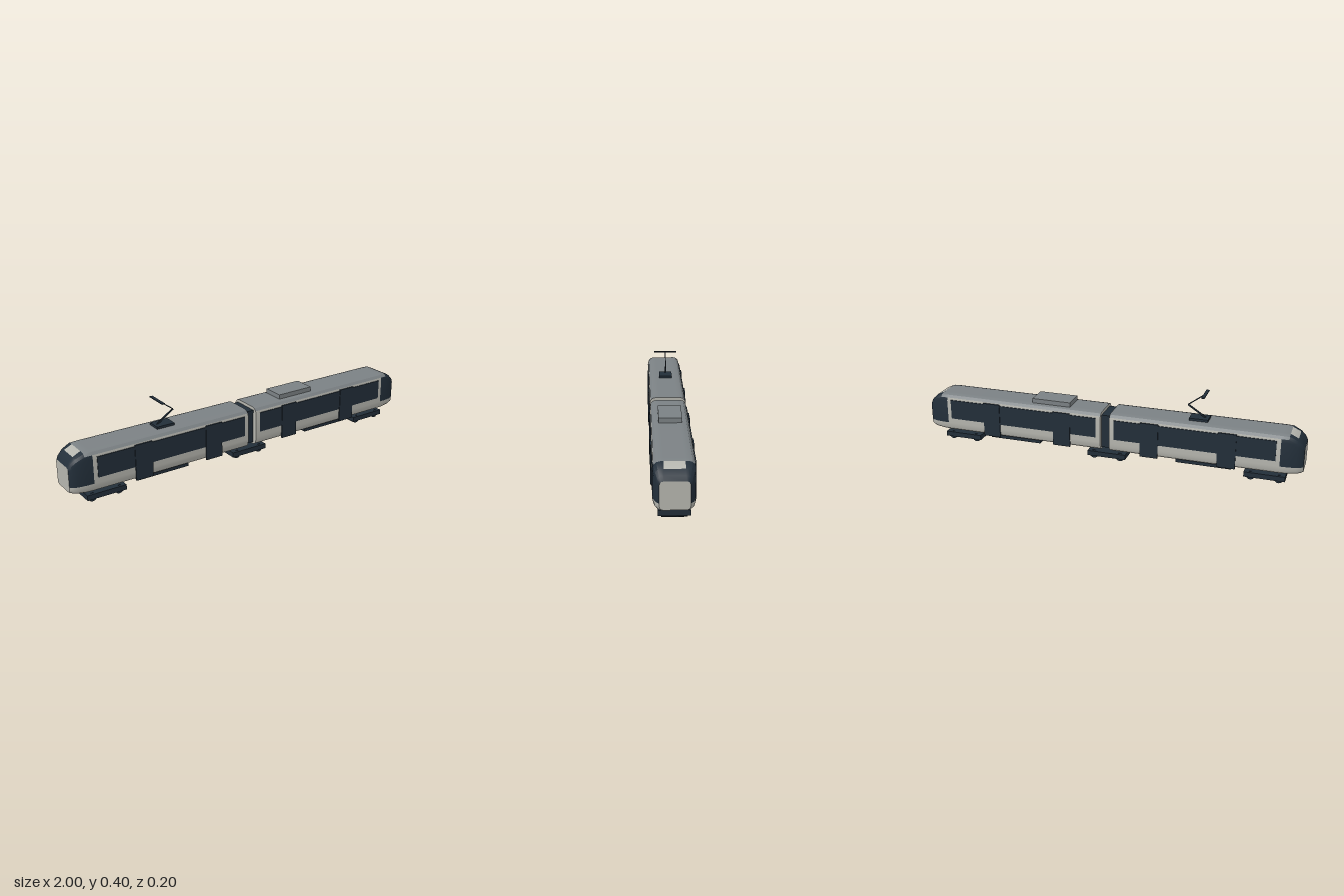
import * as THREE from 'three';
import { toCreasedNormals } from 'three/addons/utils/BufferGeometryUtils.js';

const paint = (name, color) => {
  const m = new THREE.MeshStandardMaterial({ color });
  m.name = name;
  return m;
};

export function createModel() {
  const light = paint('light grey', 0xb5b5ae);
  const grey = paint('roof grey', 0x7b8184);
  const dark = paint('dark blue', 0x222e39);
  const model = new THREE.Group();
  model.name = 'tram';

  const add = (parent, name, geometry, material, x = 0, y = 0, z = 0) => {
    const mesh = new THREE.Mesh(geometry, material);
    mesh.name = name;
    mesh.position.set(x, y, z);
    parent.add(mesh);
    return mesh;
  };
  // Box given by its limits
  const box = (parent, name, material, x0, x1, y0, y1, z0, z1) =>
    add(parent, name, new THREE.BoxGeometry(x1 - x0, y1 - y0, z1 - z0), material,
      (x0 + x1) / 2, (y0 + y1) / 2, (z0 + z1) / 2);

  // Rounded cross-section: half outline from bottom centre to roof, then mirrored
  const section = ([x, w, y0, y1, r]) => {
    const half = [[0, y0]];
    for (let k = 0; k <= 3; k++) {
      const a = k * Math.PI / 6;
      half.push([w - r + r * Math.sin(a), y0 + r - r * Math.cos(a)]);
    }
    half.push([w, 0.108]);
    for (let k = 0; k <= 3; k++) {
      const a = k * Math.PI / 6;
      half.push([w - r + r * Math.cos(a), y1 - r + r * Math.sin(a)]);
    }
    half.push([Math.min(0.046, w - r - 0.003), y1]);
    const other = half.slice(1).reverse().map(([z, y]) => [-z, y]);
    return [...half, ...other].map(([z, y]) => new THREE.Vector3(x, y, z));
  };

  // Stations along the car: x, half width, bottom, top, corner radius
  const stations = [
    [0.024, 0.093, 0.062, 0.266, 0.032],
    [0.888, 0.093, 0.062, 0.266, 0.032],
    [0.925, 0.092, 0.063, 0.265, 0.032],
    [0.965, 0.086, 0.067, 0.246, 0.030],
    [0.988, 0.077, 0.073, 0.224, 0.024],
    [1.000, 0.065, 0.078, 0.204, 0.016],
  ];

  // 0 = light, 1 = roof grey, 2 = dark
  const colourOf = (segment, band) => {
    if (band < 5) return 0;
    if (segment === 0) return band < 7 ? 0 : 1;
    if (segment === 1) return band < 7 ? 2 : 1;
    if (segment === 2 && band === 10) return 0;
    return 2;
  };

  const shellGeometry = () => {
    const rings = stations.map(section);
    const n = rings[0].length;
    const lists = [[], [], []];
    const tri = (c, ...points) => points.forEach(p => lists[c].push(p.x, p.y, p.z));
    for (let i = 0; i < rings.length - 1; i++) {
      for (let j = 0; j < n; j++) {
        const k = (j + 1) % n;
        const c = colourOf(i, j <= 10 ? j : 20 - j);
        tri(c, rings[i][j], rings[i + 1][j], rings[i + 1][k]);
        tri(c, rings[i][j], rings[i + 1][k], rings[i][k]);
      }
    }
    // End caps
    const first = rings[0], last = rings[rings.length - 1];
    const inner = new THREE.Vector3(first[0].x, 0.16, 0);
    const face = new THREE.Vector3(last[0].x, 0.14, 0);
    for (let j = 0; j < n; j++) {
      const k = (j + 1) % n;
      tri(0, inner, first[j], first[k]);
      tri(0, face, last[k], last[j]);
    }
    const g = new THREE.BufferGeometry();
    g.setAttribute('position', new THREE.Float32BufferAttribute(lists.flat(), 3));
    let start = 0;
    lists.forEach((l, c) => {
      g.addGroup(start, l.length / 3, c);
      start += l.length / 3;
    });
    return toCreasedNormals(g, 0.45);
  };

  // Two cars, the second turned around
  const shell = shellGeometry();
  for (const [name, turn] of [['leftCar', 0], ['rightCar', Math.PI]]) {
    const car = new THREE.Group();
    car.name = name;
    car.rotation.y = turn;
    add(car, 'bodyShell', shell, [light, grey, dark]);
    for (const s of [1, -1]) {
      const plate = (part, x0, x1, y0, y1, z0, z1) =>
        box(car, part, dark, x0, x1, y0, y1, Math.min(s * z0, s * z1), Math.max(s * z0, s * z1));
      plate('windowBand', 0.048, 0.867, 0.134, 0.239, 0.091, 0.0955);
      plate('innerDoor', 0.188, 0.281, 0.063, 0.246, 0.092, 0.099);
      plate('outerDoor', 0.582, 0.674, 0.063, 0.246, 0.092, 0.099);
    }
    box(car, 'underfloorBox', dark, 0.368, 0.65, 0.043, 0.066, -0.065, 0.065);
    model.add(car);
  }

  // Flexible joint between the cars
  box(model, 'gangway', dark, -0.03, 0.03, 0.073, 0.25, -0.068, 0.068);

  // Bogies with two axles each
  const axle = new THREE.CylinderGeometry(0.023, 0.023, 0.112, 16).rotateX(Math.PI / 2);
  for (const x of [-0.816, 0, 0.816]) {
    const bogie = new THREE.Group();
    bogie.name = 'bogie';
    bogie.position.x = x;
    box(bogie, 'bogieFrame', dark, -0.102, 0.102, 0.017, 0.043, -0.07, 0.07);
    for (const s of [-1, 1]) add(bogie, 'wheelset', axle, dark, s * 0.07, 0.023, 0);
    model.add(bogie);
  }

  // Roof equipment
  box(model, 'roofUnit', grey, 0.2, 0.408, 0.262, 0.29, -0.056, 0.056);

  // Pantograph
  const pantograph = new THREE.Group();
  pantograph.name = 'pantograph';
  box(pantograph, 'pantographBase', dark, -0.518, -0.422, 0.264, 0.278, -0.035, 0.035);
  const arm = (name, x0, y0, x1, y1, t) => {
    const length = Math.hypot(x1 - x0, y1 - y0);
    const mesh = add(pantograph, name, new THREE.BoxGeometry(length, t, t), dark,
      (x0 + x1) / 2, (y0 + y1) / 2, 0);
    mesh.rotation.z = Math.atan2(y1 - y0, x1 - x0);
  };
  arm('lowerArm', -0.503, 0.275, -0.408, 0.336, 0.007);
  arm('upperArm', -0.408, 0.336, -0.493, 0.4, 0.005);
  box(pantograph, 'contactBar', dark, -0.501, -0.485, 0.398, 0.402, -0.061, 0.061);
  model.add(pantograph);

  return model;
}
